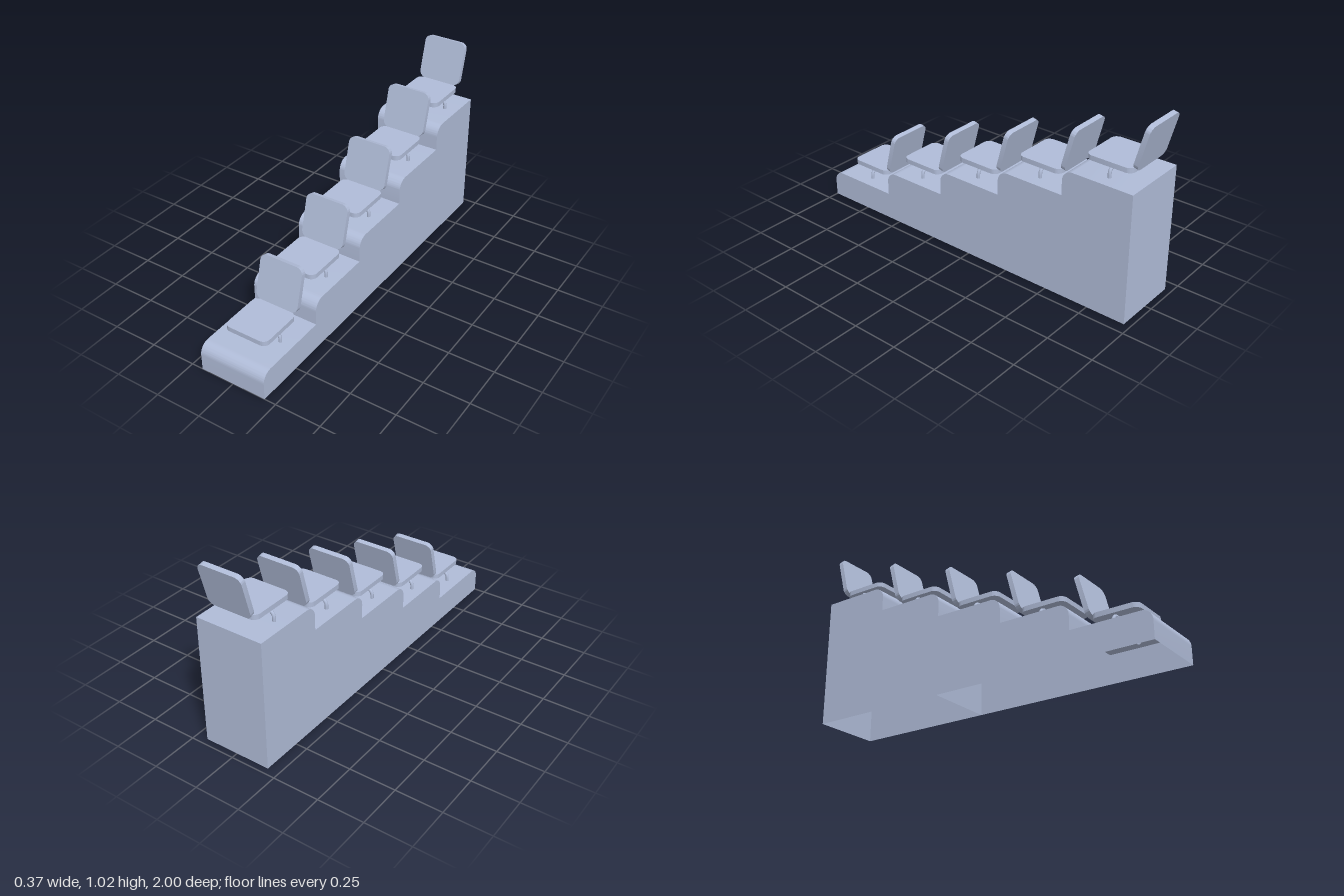
import * as THREE from 'three';
import { toCreasedNormals } from 'three/addons/utils/BufferGeometryUtils.js';

const STEPS = 5, RISE = 0.1368, SEAT_PITCH = 0.3905;
const HALF_WIDTH = 0.187, BACK_Z = -0.965;
const riserZ = [1, 0.575, 0.187, -0.196, -0.58];
const treadY = (i) => 0.15 + i * RISE;

// Stepped side outline with rounded nosings, extruded across x, open underneath
function steppedShell() {
  const r = 0.058, s = new THREE.Shape();
  s.moveTo(BACK_Z, 0);
  s.lineTo(riserZ[0], 0);
  riserZ.forEach((z, i) => {
    const y = treadY(i);
    s.lineTo(z, y - r);
    s.absarc(z - r, y - r, r, 0, Math.PI / 2, false);
    s.lineTo(i < STEPS - 1 ? riserZ[i + 1] : BACK_Z, y);
  });
  s.closePath();
  const solid = new THREE.ExtrudeGeometry(s, { depth: HALF_WIDTH * 2, bevelEnabled: false, curveSegments: 12 });
  solid.rotateY(-Math.PI / 2).translate(HALF_WIDTH, 0, 0);

  // drop the floor faces so the shell is hollow from below
  const p = solid.attributes.position, kept = [];
  for (let i = 0; i < p.count; i += 3) {
    const onFloor = [0, 1, 2].every((k) => Math.abs(p.getY(i + k)) < 1e-5);
    if (onFloor) continue;
    for (let k = 0; k < 3; k++) kept.push(p.getX(i + k), p.getY(i + k), p.getZ(i + k));
  }
  const shell = new THREE.BufferGeometry();
  shell.setAttribute('position', new THREE.Float32BufferAttribute(kept, 3));
  return toCreasedNormals(shell, 0.5);
}

// Rounded-corner board lying in the xy plane, centred on its thickness
function roundedBoard(w, h, t, r) {
  const x = w / 2 - r, y = h / 2 - r, s = new THREE.Shape();
  s.absarc(x, y, r, 0, Math.PI / 2, false);
  s.absarc(-x, y, r, Math.PI / 2, Math.PI, false);
  s.absarc(-x, -y, r, Math.PI, Math.PI * 1.5, false);
  s.absarc(x, -y, r, Math.PI * 1.5, Math.PI * 2, false);
  s.closePath();
  const g = new THREE.ExtrudeGeometry(s, { depth: t, bevelEnabled: false, curveSegments: 8 });
  return toCreasedNormals(g.translate(0, 0, -t / 2), 0.5);
}

// Bent tube arch carrying a seat, heights measured from the tread
function legArch() {
  const w = 0.118, top = 0.051, r = 0.036, path = new THREE.CurvePath();
  const v = (x, y) => new THREE.Vector3(x, y, 0);
  path.add(new THREE.LineCurve3(v(-w, -0.012), v(-w, top - r)));
  path.add(new THREE.QuadraticBezierCurve3(v(-w, top - r), v(-w, top), v(-w + r, top)));
  path.add(new THREE.LineCurve3(v(-w + r, top), v(w - r, top)));
  path.add(new THREE.QuadraticBezierCurve3(v(w - r, top), v(w, top), v(w, top - r)));
  path.add(new THREE.LineCurve3(v(w, top - r), v(w, -0.012)));
  return new THREE.TubeGeometry(path, 60, 0.009, 12, false);
}

export function createModel() {
  const model = new THREE.Group();
  model.name = 'tieredSeating';
  const paint = new THREE.MeshStandardMaterial({ color: 0xb0bcd8, side: THREE.DoubleSide });
  paint.name = 'paleBlueGrey';
  const add = (parent, geometry, name, x, y, z) => {
    const mesh = new THREE.Mesh(geometry, paint);
    mesh.name = name;
    mesh.position.set(x, y, z);
    parent.add(mesh);
    return mesh;
  };

  add(model, steppedShell(), 'steppedBase', 0, 0, 0);

  // inner wall continuing the fourth riser down to the floor
  const wallHeight = treadY(2);
  add(model, new THREE.PlaneGeometry(HALF_WIDTH * 2, wallHeight), 'innerWall', 0, wallHeight / 2, riserZ[3]);

  // one chair on every tread
  const cushion = roundedBoard(0.246, 0.25, 0.026, 0.035);
  const backrest = roundedBoard(0.246, 0.24, 0.026, 0.035);
  const arch = legArch();
  for (let i = 0; i < STEPS; i++) {
    const chair = new THREE.Group();
    chair.name = 'chair' + (i + 1);
    chair.position.set(0, treadY(i), 0.77 - i * SEAT_PITCH);
    add(chair, arch, 'legFrame', -0.003, 0, 0);
    add(chair, cushion, 'seat', 0.004, 0.074, 0.003).rotation.x = -Math.PI / 2;
    add(chair, backrest, 'backrest', 0.004, 0.2, -0.163).rotation.x = -0.255;
    model.add(chair);
  }
  return model;
}
